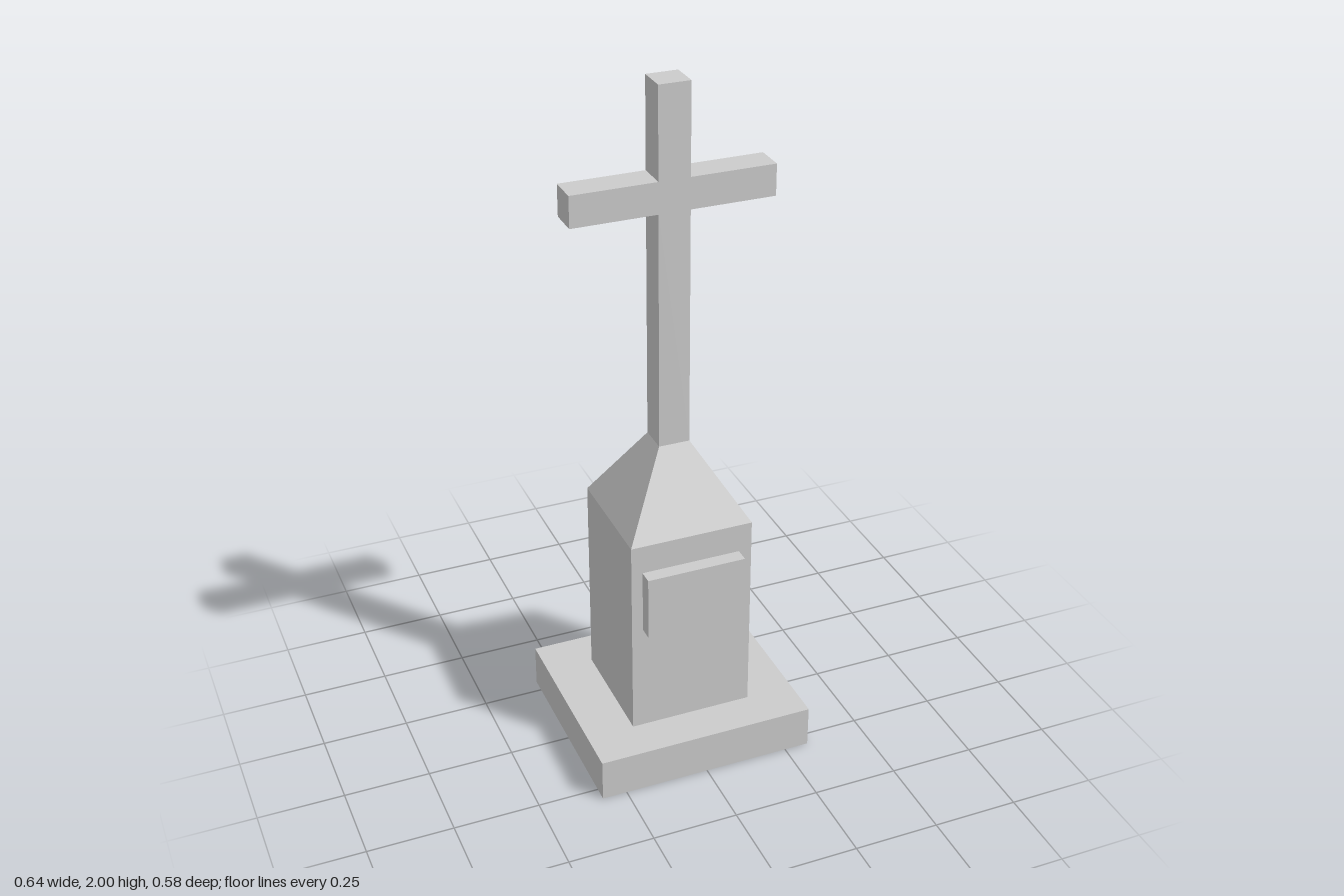
import * as THREE from 'three';

const material = new THREE.MeshStandardMaterial({ color: 0xcccccc, flatShading: true, side: THREE.DoubleSide });

function addPart(group, name, geometry) {
  const mesh = new THREE.Mesh(geometry, material);
  mesh.name = name;
  group.add(mesh);
}

// Box given by its limits; optionally without its underside
function box(x0, x1, y0, y1, z0, z1, openBelow = false) {
  const g = new THREE.BoxGeometry(x1 - x0, y1 - y0, z1 - z0);
  g.translate((x0 + x1) / 2, (y0 + y1) / 2, (z0 + z1) / 2);
  if (openBelow) {
    const index = Array.from(g.index.array);
    index.splice(18, 6); // fourth side of the box faces down
    g.setIndex(index);
    g.clearGroups();
  }
  return g;
}

// Open four-sided tube; w and d are the widths at bottom and top
function taper(wBottom, wTop, dBottom, y0, y1) {
  const g = new THREE.CylinderGeometry(wTop / Math.SQRT2, wBottom / Math.SQRT2, y1 - y0, 4, 1, true, Math.PI / 4);
  g.scale(1, 1, dBottom / wBottom);
  g.translate(-0.001, (y0 + y1) / 2, -0.0015);
  return g;
}

// Cross outline cut from one slab
function crossGeometry() {
  const w = 0.045, arm = 0.288, low = 1.652, high = 1.742, bottom = 0.963;
  const outline = [
    [-w, bottom], [w, bottom], [w, low], [arm, low], [arm, high], [w, high],
    [w, 2], [-w, 2], [-w, high], [-arm, high], [-arm, low], [-w, low],
  ];
  const shape = new THREE.Shape(outline.map(([x, y]) => new THREE.Vector2(x, y)));
  const g = new THREE.ExtrudeGeometry(shape, { depth: 0.087, bevelEnabled: false });
  g.translate(-0.001, 0, -0.045);
  return g;
}

export function createModel() {
  const group = new THREE.Group();
  group.name = 'memorialCross';

  // Hollow plinth, open underneath
  addPart(group, 'plinth', box(-0.3225, 0.3225, 0, 0.127, -0.2925, 0.2925, true));

  // Pillar shaft, its open foot reaching a little into the plinth
  addPart(group, 'pillar', taper(0.362, 0.362, 0.347, 0.082, 0.738));

  // Sloping shoulders
  addPart(group, 'shoulders', taper(0.362, 0.09, 0.347, 0.738, 0.963));

  // Plaque on the front of the pillar
  addPart(group, 'plaque', box(-0.149, 0.142, 0.461, 0.652, 0.165, 0.214));

  // Upright and arms
  addPart(group, 'cross', crossGeometry());

  return group;
}
